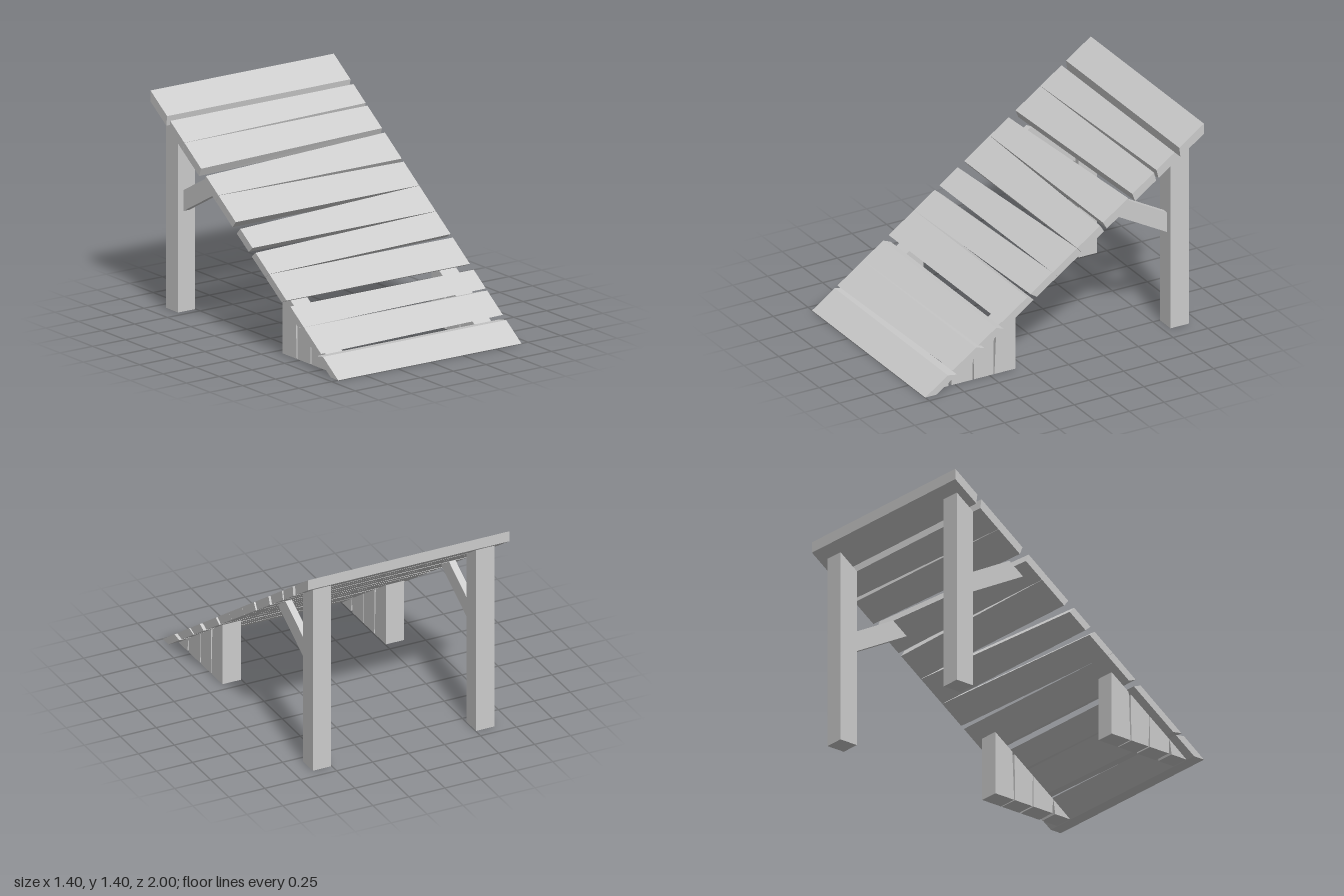
import * as THREE from 'three';

const material = new THREE.MeshStandardMaterial({ color: 0xcccccc, flatShading: true });

const HALF_WIDTH = 0.7;
const deckTop = z => 0.7 * (1 - z);
const deckBottom = z => Math.max(0, deckTop(z) - (0.063 - 0.008 * z));
// the plank ends lean further back toward the foot of the ramp
const lean = z => (z >= 1 ? -0.08 : z <= -1 ? 0 : -0.037 - 0.035 * z);

// front edge z (at -x, at +x), back edge z (at -x, at +x)
const PLANKS = [
  [1, 1, 0.838, 0.838],
  [0.818, 0.802, 0.635, 0.635],
  [0.634, 0.62, 0.49, 0.49],
  [0.45, 0.45, 0.268, 0.268],
  [0.267, 0.245, 0.12, 0.088],
  [0.087, 0.087, -0.045, -0.09],
  [-0.091, -0.091, -0.275, -0.255],
  [-0.276, -0.276, -0.41, -0.456],
  [-0.46, -0.486, -0.638, -0.642],
  [-0.639, -0.66, -0.79, -0.79],
  [-0.823, -0.823, -1, -1],
];

// A box whose corners are moved onto the sloping deck
function plank([frontA, frontB, backA, backB]) {
  const g = new THREE.BoxGeometry(1, 1, 1);
  const p = g.attributes.position;
  for (let i = 0; i < p.count; i++) {
    const left = p.getX(i) > 0;
    const top = p.getY(i) > 0;
    const front = p.getZ(i) > 0;
    const edge = front ? (left ? frontB : frontA) : (left ? backB : backA);
    const z = top ? edge : edge + lean(edge);
    p.setXYZ(i, left ? HALF_WIDTH : -HALF_WIDTH, top ? deckTop(z) : deckBottom(z), z);
  }
  g.computeVertexNormals();
  return g;
}

// A (z, y) side profile extruded along x and centred there
function sidePiece(points, width) {
  const shape = new THREE.Shape(points.map(([z, y]) => new THREE.Vector2(-z, y)));
  const g = new THREE.ExtrudeGeometry(shape, { depth: width, bevelEnabled: false });
  return g.translate(0, 0, -width / 2).rotateY(Math.PI / 2);
}

// Upright timber cut off along the underside of the deck
function upright(frontFoot, frontHead, backFoot, backHead) {
  return sidePiece([
    [frontFoot, 0], [backFoot, 0],
    [backHead, deckBottom(backHead)], [frontHead, deckBottom(frontHead)],
  ], 0.128);
}

export function createModel() {
  const model = new THREE.Group();
  model.name = 'ramp';
  const add = (name, geometry, x = 0) => {
    const mesh = new THREE.Mesh(geometry, material);
    mesh.name = name;
    mesh.position.x = x;
    model.add(mesh);
  };

  // Deck
  PLANKS.forEach((edges, i) => add(`deckPlank${i + 1}`, plank(edges)));

  for (const [side, s] of [['left', 1], ['right', -1]]) {
    const x = s * 0.568;

    // Tall rear leg and its diagonal brace
    add(`${side}RearLeg`, upright(-0.8, -0.8, -0.932, -0.932), x);
    add(`${side}Brace`, sidePiece([
      [-0.365, 0.89], [-0.8, 0.65], [-0.8, 0.785], [-0.475, 0.965],
    ], 0.045), x);

    // Stepped row of front support blocks
    add(`${side}FrontBlock1`, upright(0.464, 0.45, 0.313, 0.313), x);
    add(`${side}FrontBlock2`, upright(0.61, 0.615, 0.472, 0.468), x);
    add(`${side}FrontBlock3`, upright(0.772, 0.777, 0.622, 0.618), x);
    // Foremost block tapers to the ground
    add(`${side}FrontWedge`, sidePiece([
      [0.915, 0], [0.795, 0], [0.78, deckBottom(0.78)],
    ], 0.128), x);
  }

  return model;
}
